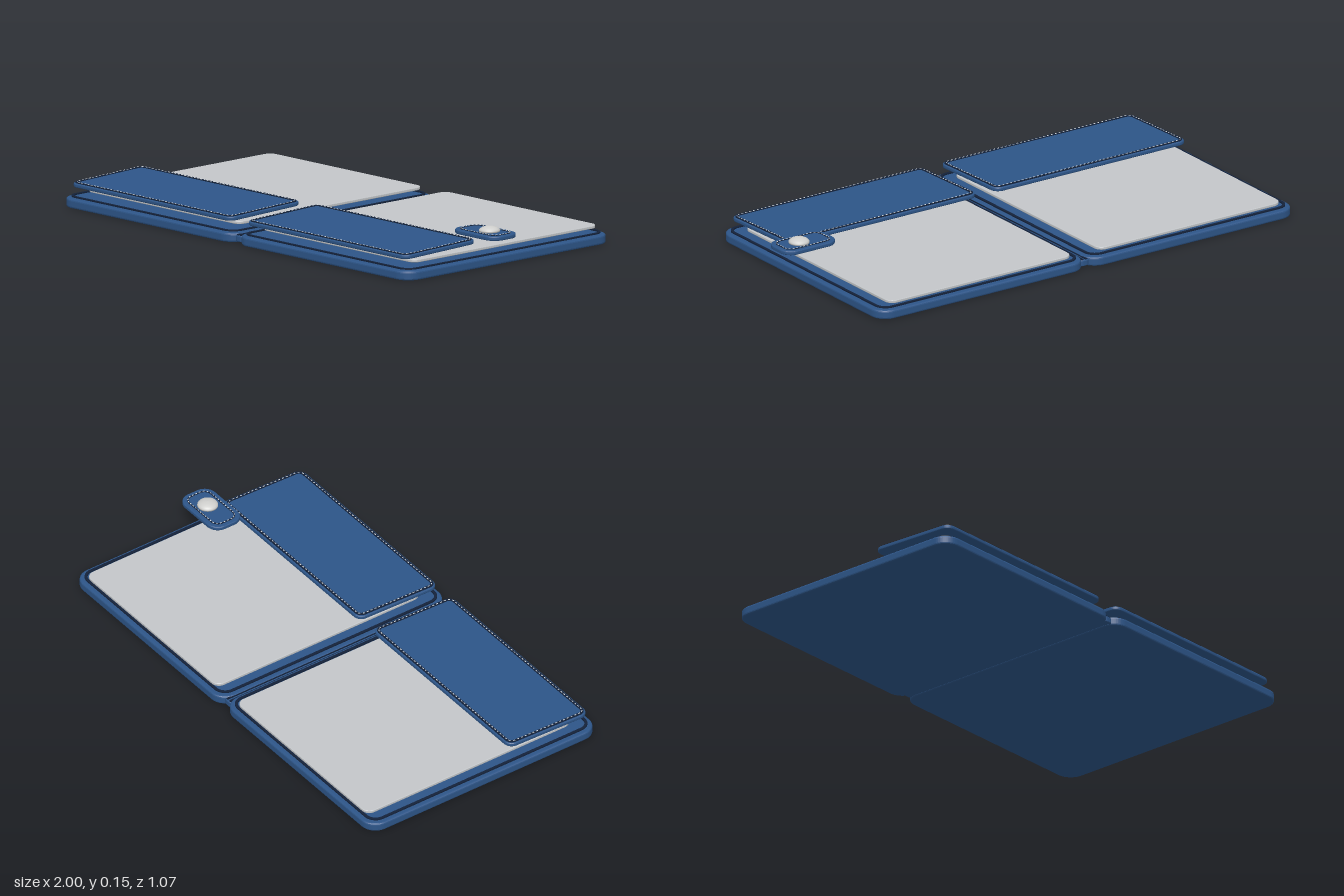
import * as THREE from 'three';
import { mergeGeometries } from 'three/addons/utils/BufferGeometryUtils.js';

const paint = (name, color) => {
  const m = new THREE.MeshStandardMaterial({ color });
  m.name = name;
  return m;
};

// Rounded rectangle outline centred on the origin
function outline(w, d, r, Type = THREE.Shape) {
  const s = new Type(), x = w / 2, y = d / 2;
  s.moveTo(-x + r, -y);
  s.lineTo(x - r, -y);
  s.absarc(x - r, -y + r, r, -Math.PI / 2, 0);
  s.lineTo(x, y - r);
  s.absarc(x - r, y - r, r, 0, Math.PI / 2);
  s.lineTo(-x + r, y);
  s.absarc(-x + r, y - r, r, Math.PI / 2, Math.PI);
  s.lineTo(-x, -y + r);
  s.absarc(-x + r, -y + r, r, Math.PI, Math.PI * 1.5);
  return s;
}

// Flat slab with softened edges, standing on y = 0
function slab(w, d, h, r, bevel) {
  const g = new THREE.ExtrudeGeometry(outline(w - 2 * bevel, d - 2 * bevel, r - bevel), {
    depth: h - 2 * bevel, bevelEnabled: true, bevelSize: bevel,
    bevelThickness: bevel, bevelSegments: 3, curveSegments: 8,
  });
  return g.rotateX(-Math.PI / 2).translate(0, bevel, 0);
}

// Thin border strip following a rounded rectangle
function border(w, d, h, r, width) {
  const s = outline(w, d, r);
  s.holes.push(outline(w - 2 * width, d - 2 * width, r - width, THREE.Path));
  return new THREE.ExtrudeGeometry(s, { depth: h, bevelEnabled: false, curveSegments: 8 }).rotateX(-Math.PI / 2);
}

// Row of small stitches around a rounded rectangle
function stitches(w, d, r, step) {
  const path = outline(w, d, r);
  const n = Math.round(path.getLength() / step);
  const list = [];
  for (let i = 0; i < n; i++) {
    const p = path.getPointAt(i / n), t = path.getTangentAt(i / n);
    list.push(new THREE.BoxGeometry(step * 0.45, 0.002, 0.003)
      .rotateY(Math.atan2(t.y, t.x)).translate(p.x, 0, -p.y));
  }
  return mergeGeometries(list);
}

export function createModel() {
  const leather = paint('blue leather', 0x2d5588);
  const trim = paint('dark navy trim', 0x14223a);
  const sheet = paint('pale grey lining', 0xc3c6c9);
  const thread = paint('light thread', 0xd5d9dd);
  const metal = paint('silver metal', 0xcfcfcd);

  const model = new THREE.Group();
  model.name = 'openWallet';
  const add = (parent, name, geo, mat, x = 0, y = 0, z = 0) => {
    const m = new THREE.Mesh(geo, mat);
    m.name = name;
    m.position.set(x, y, z);
    parent.add(m);
    return m;
  };

  // Two covers, each with an edge border, a lining and a pocket
  for (const [side, cx] of [['right', -0.517], ['left', 0.457]]) {
    const half = new THREE.Group();
    half.name = side + 'Half';
    half.position.x = cx;
    model.add(half);
    add(half, side + 'Cover', slab(0.962, 1.07, 0.036, 0.065, 0.008), leather);
    add(half, side + 'CoverBorder', border(0.926, 1.034, 0.005, 0.05, 0.011), trim, 0, 0.039);
    add(half, side + 'Lining', slab(0.852, 0.965, 0.012, 0.035, 0.003), sheet, 0, 0.053, -0.033);

    const pocket = new THREE.Group();
    pocket.name = side + 'Pocket';
    pocket.position.set(0, 0.083, 0.325);
    pocket.rotation.x = 0.03;
    half.add(pocket);
    add(pocket, side + 'PocketPanel', slab(0.892, 0.375, 0.016, 0.035, 0.005), leather);
    add(pocket, side + 'PocketBorder', border(0.878, 0.361, 0.003, 0.028, 0.011), trim, 0, 0.016);
    add(pocket, side + 'PocketStitching', stitches(0.865, 0.348, 0.022, 0.018), thread, 0, 0.0195);
  }

  // Fold joining the covers
  add(model, 'spine', slab(0.05, 1.02, 0.024, 0.02, 0.004), leather, -0.03, 0.005);
  for (const dx of [-0.009, 0.009]) {
    add(model, 'spineCrease', new THREE.BoxGeometry(0.008, 0.006, 1.01), trim, -0.03 + dx, 0.03);
  }

  // Closing strap with its snap
  const clasp = new THREE.Group();
  clasp.name = 'clasp';
  clasp.position.set(0.875, 0.108, 0.07);
  model.add(clasp);
  add(clasp, 'strap', slab(0.245, 0.143, 0.017, 0.05, 0.005), leather);
  add(clasp, 'strapBorder', border(0.209, 0.107, 0.002, 0.034, 0.006), trim, 0, 0.017);
  add(clasp, 'strapStitching', stitches(0.203, 0.101, 0.031, 0.016), thread, 0, 0.0195);
  const dome = [[0, 0], [0.04, 0], [0.04, 0.006], [0.036, 0.011], [0.028, 0.016], [0.015, 0.02], [0, 0.021]];
  add(clasp, 'snap', new THREE.LatheGeometry(dome.map(([x, y]) => new THREE.Vector2(x, y)), 32),
    metal, 0.02, 0.017, -0.002);
  return model;
}
